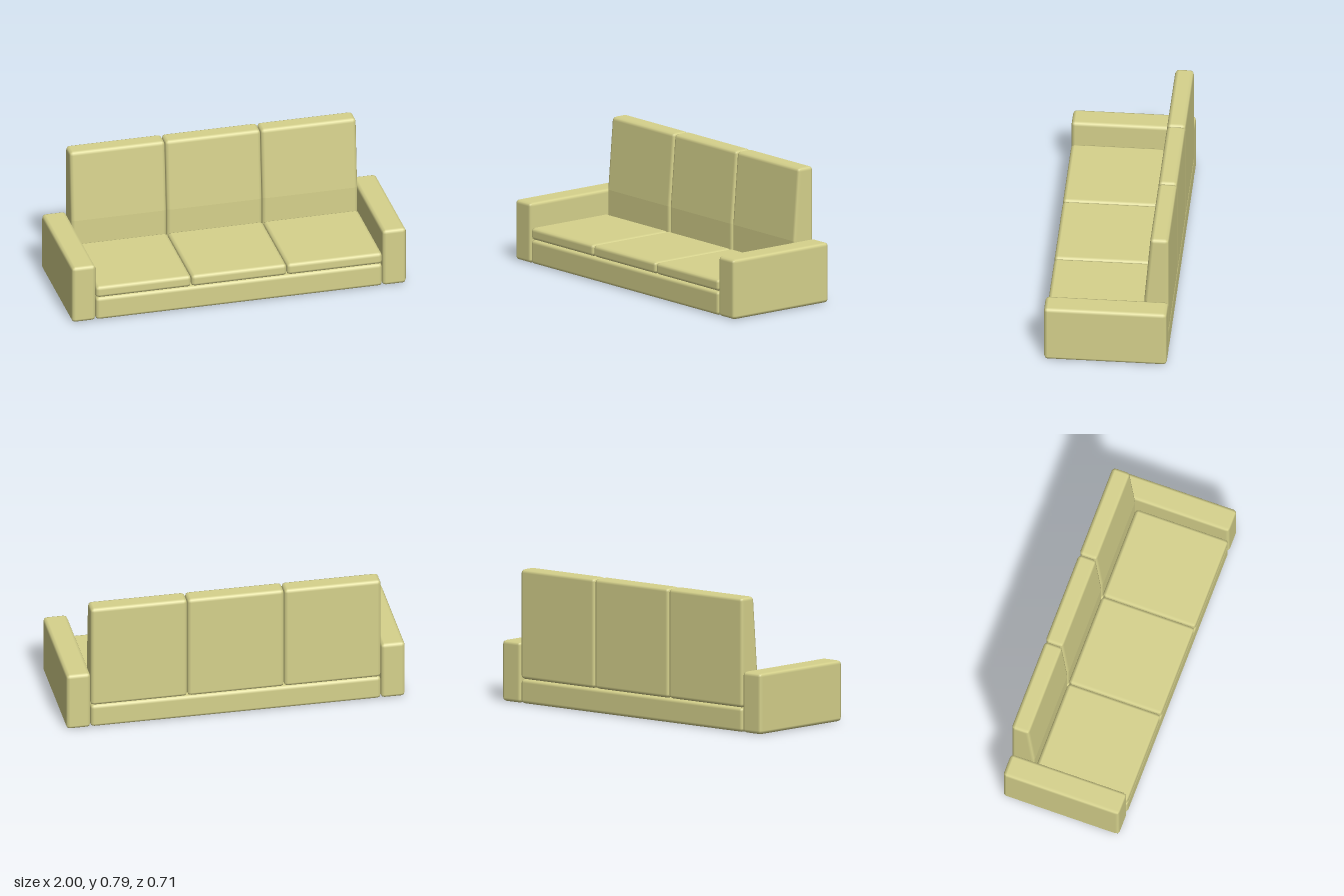
import * as THREE from 'three';

const U = 1 / 7;          // sofa module: arm width, base height, back depth
const R = 0.021;          // edge rounding
const fabric = new THREE.MeshStandardMaterial({ color: 0xd6d28c });
fabric.name = 'straw fabric';

// Box with two-step rounded edges, spanning min..max. With a bend, the front
// face leans back by `slope` above the height bend.y.
function softBox(min, max, bend) {
  const geo = new THREE.BoxGeometry(1, 1, 1, 3, 5, 3);
  const pos = geo.attributes.position, nor = geo.attributes.normal;
  const mid = min.map((m, i) => (m + max[i]) / 2);
  const half = min.map((m, i) => (max[i] - m) / 2 - R);
  const n = new THREE.Vector3();
  for (let i = 0; i < pos.count; i++) {
    const t = [pos.getX(i), pos.getY(i), pos.getZ(i)];
    // outermost grid lines carry the rounding, inner ones bound the flat faces
    n.fromArray(t.map(v => (Math.abs(v) > 0.49 ? Math.sign(v) : 0))).normalize();
    const p = t.map((v, a) => mid[a] + Math.sign(v) * half[a]);
    // the two middle rows meet at the bend, keeping its crease sharp
    if (Math.abs(t[1]) < 0.2) p[1] = bend ? bend.y : mid[1];
    p[0] += n.x * R;
    p[1] += n.y * R;
    p[2] += n.z * R;
    if (bend && t[2] > 0 && t[1] > 0) {
      p[2] -= (p[1] - bend.y) * bend.slope;
      if (n.z > 0) {
        n.y += bend.slope * n.z;
        n.normalize();
      }
    }
    pos.setXYZ(i, ...p);
    nor.setXYZ(i, n.x, n.y, n.z);
  }
  return geo;
}

export function createModel() {
  const sofa = new THREE.Group();
  sofa.name = 'sofa';
  const add = (name, min, max, bend) => {
    const mesh = new THREE.Mesh(softBox(min, max, bend), fabric);
    mesh.name = name;
    sofa.add(mesh);
  };
  const zBack = -2.5 * U, zFront = 2.5 * U;

  // base and arms
  add('base', [-6 * U, 0, zBack], [6 * U, U, zFront]);
  add('leftArm', [6 * U, 0, zBack], [7 * U, 2.5 * U, zFront]);
  add('rightArm', [-7 * U, 0, zBack], [-6 * U, 2.5 * U, zFront]);

  // three seats, each with a cushion and a leaning back
  ['right', 'middle', 'left'].forEach((side, i) => {
    const x0 = (-6 + 4 * i) * U, x1 = x0 + 4 * U;
    add(side + 'SeatCushion', [x0, U, -1.5 * U], [x1, 1.5 * U, zFront]);
    add(side + 'BackCushion', [x0, U, zBack], [x1, 5.5 * U, -1.5 * U],
      { y: 2.5 * U, slope: 0.083 });
  });
  return sofa;
}
